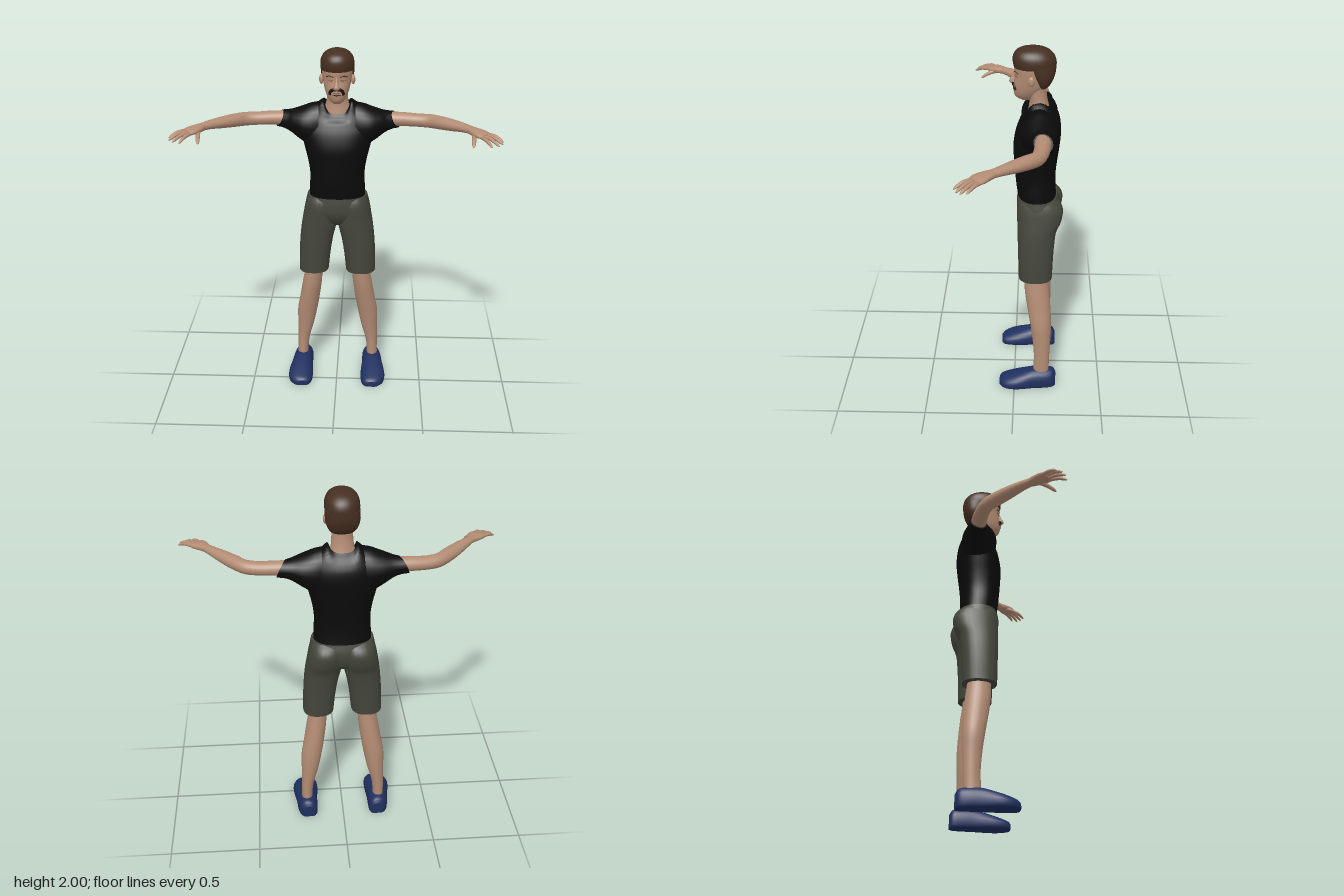
import * as THREE from 'three';

const mat = (name, color) => new THREE.MeshStandardMaterial({ name, color });
const V = (x, y, z) => new THREE.Vector3(x, y, z);

// Skin a series of oval sections {c: centre, u, v: half axes}; n > 2 gives squarer ovals
function loft(name, material, sections, { n = 2, seg = 24, steps = 4, side = 1, open = false, warp = null } = {}) {
  const curve = k => new THREE.CatmullRomCurve3(sections.map(s => s[k]), false, 'catmullrom');
  const [C, U, W] = ['c', 'u', 'v'].map(curve);
  const rows = (sections.length - 1) * steps;
  const pos = [], idx = [];
  const pw = a => Math.sign(a) * Math.abs(a) ** (2 / n);
  for (let i = 0; i <= rows; i++) {
    const t = i / rows, c = C.getPoint(t), u = U.getPoint(t), v = W.getPoint(t);
    for (let j = 0; j < seg; j++) {
      const a = j / seg * Math.PI * 2;
      const p = c.clone().addScaledVector(u, pw(Math.cos(a))).addScaledVector(v, pw(Math.sin(a)));
      if (warp) warp(p);
      pos.push(p.x * side, p.y, p.z);
      const k = (j + 1) % seg, r = i * seg;
      if (i < rows) idx.push(r + j, r + k, r + seg + j, r + k, r + seg + k, r + seg + j);
    }
  }
  // End caps with their own vertices for a crisp rim
  if (!open) for (const [row, flip] of [[0, true], [rows, false]]) {
    const base = pos.length / 3, mid = V(0, 0, 0);
    for (let j = 0; j < seg; j++) {
      const o = (row * seg + j) * 3, p = V(pos[o], pos[o + 1], pos[o + 2]);
      pos.push(p.x, p.y, p.z);
      mid.addScaledVector(p, 1 / seg);
    }
    pos.push(mid.x, mid.y, mid.z);
    for (let j = 0; j < seg; j++) {
      const a = base + j, b = base + (j + 1) % seg;
      idx.push(...(flip ? [b, a, base + seg] : [a, b, base + seg]));
    }
  }
  // Turn the faces outward if the enclosed volume is negative
  let vol = 0;
  const at = i => V(pos[i * 3], pos[i * 3 + 1], pos[i * 3 + 2]).sub(sections[0].c.clone().multiply(V(side, 1, 1)));
  for (let i = 0; i < idx.length; i += 3) vol += at(idx[i]).dot(at(idx[i + 1]).cross(at(idx[i + 2])));
  if (vol < 0) idx.reverse();
  const g = new THREE.BufferGeometry();
  g.setAttribute('position', new THREE.Float32BufferAttribute(pos, 3));
  g.setIndex(idx);
  g.computeVertexNormals();
  const mesh = new THREE.Mesh(g, material);
  mesh.name = name;
  return mesh;
}

// Level sections: [y, x centre, half width, front z, back z]
const level = rows => rows.map(([y, x, w, f, b]) => ({ c: V(x, y, (f + b) / 2), u: V(w, 0, 0), v: V(0, 0, (f - b) / 2) }));
// Sections across a limb: [x, y, z, half width, half height], crossways direction (dx, dz)
const limb = rows => rows.map(([x, y, z, w, h, dx = 0.7, dz = -0.7]) =>
  ({ c: V(x, y, z), u: V(dx, 0, dz).setLength(w), v: V(0, h, 0) }));

function tube(name, material, pts, r) {
  const m = new THREE.Mesh(new THREE.TubeGeometry(new THREE.CatmullRomCurve3(pts), 20, r, 8), material);
  m.name = name;
  return m;
}
function ball(name, material, c, s) {
  const m = new THREE.Mesh(new THREE.SphereGeometry(1, 16, 12), material);
  m.name = name;
  m.position.copy(c);
  m.scale.copy(s);
  return m;
}

export function createModel() {
  const skin = mat('skin', 0xb38c74), shirt = mat('black shirt', 0x0b0b0c), cloth = mat('olive grey shorts', 0x44463b);
  const shoe = mat('navy shoe', 0x20305f), hair = mat('brown hair', 0x462f21), dark = mat('dark whiskers', 0x1c130f);
  const lip = mat('lip', 0x8c5f50);
  shirt.side = THREE.DoubleSide;
  const model = new THREE.Group();
  model.name = 'man';

  // Shirt body, its collar dipping at front and back
  const neckline = p => {
    const t = THREE.MathUtils.clamp((p.y - 1.6) / 0.12, 0, 1);
    p.y -= t * (p.z > -0.13 ? 0.075 : 0.035) * Math.max(0, 1 - (p.x / 0.075) ** 4);
  };
  model.add(loft('shirtBody', shirt, level([
    [1.155, 0, 0.158, -0.018, -0.228], [1.22, 0, 0.155, -0.008, -0.222], [1.30, 0, 0.152, 0, -0.222],
    [1.38, 0, 0.163, 0.006, -0.23], [1.46, 0, 0.182, 0.009, -0.24], [1.54, 0, 0.198, -0.006, -0.246],
    [1.60, 0, 0.19, -0.03, -0.24], [1.65, 0, 0.155, -0.05, -0.225], [1.69, 0, 0.115, -0.058, -0.205],
    [1.722, 0, 0.074, -0.066, -0.182]]), { n: 2.3, seg: 40, open: true, warp: neckline }));

  // Neck and head
  model.add(loft('neck', skin, level([
    [1.60, 0, 0.09, -0.06, -0.195], [1.66, 0, 0.074, -0.07, -0.185], [1.71, 0, 0.06, -0.075, -0.172],
    [1.76, 0, 0.056, -0.065, -0.165], [1.80, 0, 0.056, -0.06, -0.165]])));
  model.add(loft('head', skin, level([
    [1.715, 0, 0.022, -0.03, -0.085], [1.733, 0, 0.04, -0.002, -0.115], [1.76, 0, 0.056, 0.008, -0.14],
    [1.80, 0, 0.069, 0.01, -0.175], [1.85, 0, 0.079, 0.002, -0.19], [1.90, 0, 0.082, 0.006, -0.2],
    [1.95, 0, 0.074, -0.01, -0.18], [1.98, 0, 0.04, -0.05, -0.13]]), { n: 2.2, seg: 32 }));
  model.add(loft('hairTop', hair, level([
    [1.895, 0, 0.089, 0.007, -0.214], [1.925, 0, 0.091, 0.013, -0.214], [1.955, 0, 0.085, 0.01, -0.203],
    [1.98, 0, 0.067, -0.008, -0.178], [1.995, 0, 0.04, -0.04, -0.145], [2, 0, 0.012, -0.075, -0.11]]), { n: 2.2, seg: 32 }));
  model.add(loft('hairBack', hair, level([
    [1.785, 0, 0.048, -0.12, -0.168], [1.805, 0, 0.07, -0.11, -0.186], [1.84, 0, 0.086, -0.09, -0.203],
    [1.875, 0, 0.09, -0.065, -0.212], [1.91, 0, 0.09, -0.05, -0.214]]), { n: 2.3, seg: 32 }));

  // Face
  model.add(loft('nose', skin, level([
    [1.798, 0, 0.009, 0.014, -0.01], [1.806, 0, 0.016, 0.026, -0.01], [1.818, 0, 0.015, 0.031, -0.01],
    [1.845, 0, 0.009, 0.016, -0.01], [1.87, 0, 0.007, 0.006, -0.01]]), { seg: 14 }));
  model.add(tube('moustache', dark, [V(-0.036, 1.776, -0.006), V(-0.031, 1.795, 0.001), V(-0.014, 1.805, 0.009),
    V(0.014, 1.805, 0.009), V(0.031, 1.795, 0.001), V(0.036, 1.776, -0.006)], 0.0085));
  model.add(tube('lowerWhiskers', dark, [V(-0.032, 1.776, -0.004), V(0, 1.774, 0.007), V(0.032, 1.776, -0.004)], 0.005));
  model.add(ball('mouth', lip, V(0, 1.786, 0.008), V(0.018, 0.005, 0.004)));

  for (const side of [1, -1]) {
    const part = (name, m, rows, opt = {}) => model.add(loft(name, m, rows, { ...opt, side }));
    const S = (x, y, z) => V(x * side, y, z);

    // Closed eye, brow and ear
    model.add(tube('eyelid', lip, [S(0.018, 1.853, 0), S(0.034, 1.85, -0.005), S(0.05, 1.853, -0.016)], 0.0035));
    model.add(tube('eyebrow', hair, [S(0.016, 1.869, 0.002), S(0.036, 1.875, -0.004), S(0.056, 1.868, -0.019)], 0.003));
    model.add(ball('ear', skin, S(0.085, 1.838, -0.085), V(0.012, 0.027, 0.018)));

    // Sleeve: [x, top, bottom, front z, back z], the open end slanting inward at top and front
    const sleeve = [[0.1, 1.7, 1.44, -0.035, -0.225], [0.15, 1.69, 1.455, -0.03, -0.23], [0.2, 1.672, 1.49, -0.037, -0.225],
      [0.25, 1.656, 1.53, -0.062, -0.21], [0.285, 1.648, 1.547, -0.085, -0.203], [0.318, 1.644, 1.553, -0.1, -0.2]];
    part('sleeve', shirt, sleeve.map(([x, t, b, f, k], i) => ({
      c: V(x, (t + b) / 2, (f + k) / 2), u: V(-0.003 * i, 0, (f - k) / 2), v: V(-0.004 * i, (t - b) / 2, 0) })));

    // Arm, bending forward at the elbow
    part('arm', skin, limb([
      [0.27, 1.6, -0.15, 0.042, 0.04, 0, -1], [0.36, 1.6, -0.147, 0.042, 0.038, 0.05, -1], [0.44, 1.598, -0.138, 0.04, 0.036, 0.15, -1],
      [0.505, 1.6, -0.118, 0.039, 0.037, 0.4, -1], [0.56, 1.606, -0.07, 0.04, 0.036], [0.62, 1.612, -0.01, 0.037, 0.031],
      [0.675, 1.617, 0.047, 0.03, 0.024], [0.712, 1.618, 0.09, 0.026, 0.02]]));
    part('palm', skin, limb([
      [0.705, 1.618, 0.082, 0.025, 0.02], [0.73, 1.617, 0.115, 0.037, 0.019], [0.757, 1.615, 0.145, 0.045, 0.017],
      [0.783, 1.612, 0.17, 0.041, 0.011]]), { n: 2.4 });

    // Fingers and thumb: base, tip, radius
    const fingers = [[[0.795, 1.612, 0.138], [0.866, 1.592, 0.196]], [[0.787, 1.613, 0.157], [0.862, 1.588, 0.227]],
      [[0.77, 1.612, 0.173], [0.84, 1.585, 0.249]], [[0.755, 1.611, 0.187], [0.803, 1.583, 0.262]],
      [[0.724, 1.61, 0.125], [0.713, 1.568, 0.222]]];
    fingers.forEach(([a, b], i) => {
      const r = i === 4 ? 0.012 : 0.0098;
      const dir = [b[2] - a[2], a[0] - b[0]];
      part(i === 4 ? 'thumb' : 'finger', skin, limb([[0, 1], [0.45, 1], [0.85, 0.8], [1, 0.25]].map(([t, k]) =>
        [...a.map((p, j) => p + (b[j] - p) * t + (j === 1 ? 0.008 * Math.sin(t * Math.PI) : 0)), r * k, r * k, ...dir])),
      { seg: 10, steps: 3 });
    });

    // Shorts leg with a full seat behind
    part('shortsLeg', cloth, level([
      [0.7, 0.136, 0.086, -0.024, -0.212], [0.8, 0.13, 0.09, -0.021, -0.215], [0.9, 0.119, 0.095, -0.018, -0.221],
      [0.98, 0.105, 0.1, -0.016, -0.231], [1.04, 0.097, 0.098, -0.014, -0.256], [1.1, 0.09, 0.094, -0.012, -0.266],
      [1.14, 0.086, 0.088, -0.018, -0.25], [1.168, 0.08, 0.083, -0.03, -0.22]]), { n: 2.35, seg: 28 });
    // Lower leg
    part('leg', skin, level([
      [0.78, 0.13, 0.055, -0.05, -0.185], [0.7, 0.136, 0.051, -0.055, -0.186], [0.6, 0.149, 0.056, -0.06, -0.198],
      [0.5, 0.164, 0.058, -0.075, -0.207], [0.4, 0.181, 0.058, -0.092, -0.212], [0.3, 0.192, 0.048, -0.106, -0.21],
      [0.2, 0.206, 0.035, -0.115, -0.205], [0.12, 0.211, 0.031, -0.113, -0.203], [0.06, 0.211, 0.033, -0.11, -0.203]]));
    // Shoe: [z, x centre, half width, height], pressed flat underneath
    const shoeRows = [[-0.243, 0.203, 0.03, 0.075], [-0.225, 0.206, 0.05, 0.1], [-0.18, 0.21, 0.058, 0.107],
      [-0.11, 0.213, 0.062, 0.106], [-0.05, 0.216, 0.07, 0.09], [0, 0.217, 0.073, 0.074], [0.045, 0.215, 0.066, 0.058],
      [0.073, 0.21, 0.05, 0.046], [0.086, 0.208, 0.028, 0.034]];
    part('shoe', shoe, shoeRows.map(([z, x, w, h]) => ({ c: V(x, h * 0.3, z), u: V(w, 0, 0), v: V(0, h * 0.7, 0) })),
      { n: 2.3, warp: p => { p.y = Math.max(0, p.y); } });
  }

  // Shorts waist joining both legs
  model.add(loft('shortsWaist', cloth, level([
    [0.99, 0, 0.06, -0.07, -0.18], [1.02, 0, 0.13, -0.035, -0.22], [1.07, 0, 0.183, -0.012, -0.242],
    [1.12, 0, 0.179, -0.01, -0.246], [1.168, 0, 0.169, -0.014, -0.234]]), { n: 2.4, seg: 36 }));

  return model;
}
